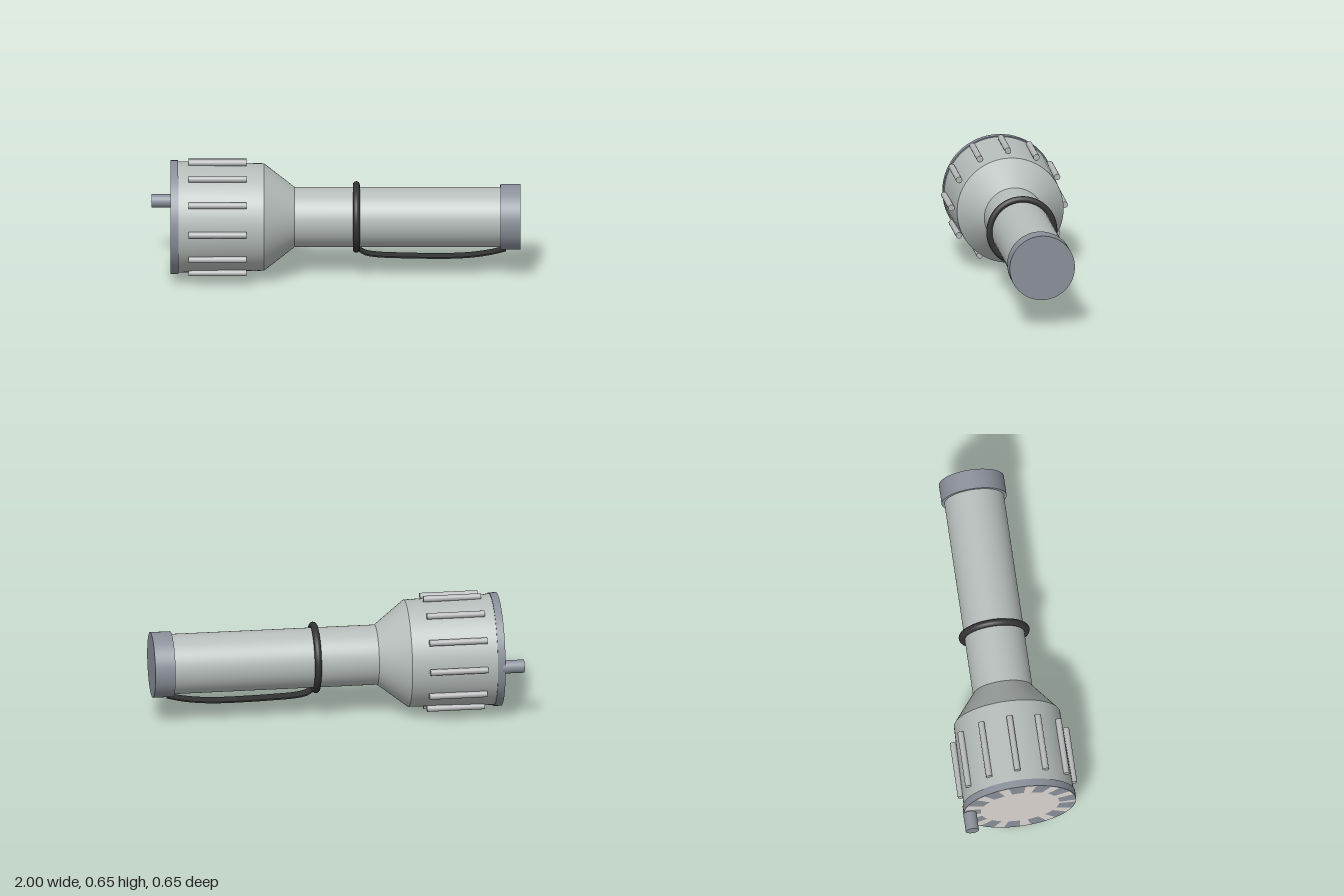
import * as THREE from 'three';

const AXIS_Y = 0.3275;
const SEGMENTS = 64;

function makeMaterial(name, color) {
  const material = new THREE.MeshStandardMaterial({ color });
  material.name = name;
  return material;
}

export function createModel() {
  const bodyGrey = makeMaterial('body grey', 0xb6bdba);
  const ribGrey = makeMaterial('rib grey', 0xb6b8b9);
  const steelBlue = makeMaterial('steel blue grey', 0x8a909a);
  const rubber = makeMaterial('black rubber', 0x333333);
  const lensGrey = makeMaterial('lens warm grey', 0xdcd6d2);

  const model = new THREE.Group();
  model.name = 'flashlight';

  function add(name, geometry, material, x = 0, y = 0, z = 0) {
    const mesh = new THREE.Mesh(geometry, material);
    mesh.name = name;
    mesh.position.set(x, y, z);
    model.add(mesh);
    return mesh;
  }

  // Cylinder or cone lying along x, from x0 (radius r0) to x1 (radius r1)
  function addTube(name, x0, x1, r0, r1, material, dy = 0, dz = 0, sides = SEGMENTS) {
    const geometry = new THREE.CylinderGeometry(r1, r0, x1 - x0, sides);
    geometry.rotateZ(-Math.PI / 2);
    return add(name, geometry, material, (x0 + x1) / 2, AXIS_Y + dy, dz);
  }

  // Main body
  addTube('head', -0.855, -0.39, 0.302, 0.291, bodyGrey);
  addTube('neckCone', -0.39, -0.225, 0.291, 0.163, bodyGrey);
  addTube('handle', -0.225, 0.89, 0.163, 0.163, bodyGrey);
  addTube('tailCap', 0.89, 1, 0.178, 0.178, steelBlue);
  addTube('frontBezel', -0.896, -0.855, 0.308, 0.308, steelBlue);

  // Peg on the front rim
  addTube('frontPeg', -1, -0.88, 0.036, 0.036, steelBlue, 0, -0.275, 24);

  // Grip ribs around the head
  for (let i = 0; i < 12; i++) {
    const angle = (i / 12) * Math.PI * 2;
    addTube('gripRib', -0.8, -0.485, 0.017, 0.017, ribGrey,
      0.3095 * Math.cos(angle), 0.3095 * Math.sin(angle), 20);
  }

  // Lens disc with a rim of alternating sectors
  const lens = new THREE.CircleGeometry(0.215, SEGMENTS);
  lens.rotateY(-Math.PI / 2);
  add('lens', lens, lensGrey, -0.899, AXIS_Y, 0);

  const rim = new THREE.RingGeometry(0.215, 0.307, SEGMENTS, 1);
  rim.rotateY(-Math.PI / 2);
  for (let i = 0; i < SEGMENTS; i++) rim.addGroup(i * 6, 6, i % 5 < 3 ? 0 : 1);
  add('lensRim', rim, [steelBlue, lensGrey], -0.899, AXIS_Y, 0);

  // Rubber ring around the handle
  const ring = new THREE.TorusGeometry(0.175, 0.019, 16, SEGMENTS);
  ring.rotateY(Math.PI / 2);
  add('strapRing', ring, rubber, 0.11, AXIS_Y, 0);

  // Sagging flat strap under the handle
  const curve = new THREE.CatmullRomCurve3([
    [0.115, 0.155], [0.15, 0.128], [0.21, 0.115], [0.35, 0.108], [0.5, 0.105],
    [0.62, 0.105], [0.74, 0.112], [0.84, 0.127], [0.92, 0.147],
  ].map(([x, y]) => new THREE.Vector3(x, y, 0)));
  const upper = [];
  const lower = [];
  for (let i = 0; i <= 32; i++) {
    const p = curve.getPointAt(i / 32);
    const t = curve.getTangentAt(i / 32);
    upper.push(new THREE.Vector2(p.x - t.y * 0.004, p.y + t.x * 0.004));
    lower.push(new THREE.Vector2(p.x + t.y * 0.004, p.y - t.x * 0.004));
  }
  const strapShape = new THREE.Shape([...lower, ...upper.reverse()]);
  const strap = new THREE.ExtrudeGeometry(strapShape, { depth: 0.076, bevelEnabled: false });
  add('strap', strap, rubber, 0, 0, -0.038);

  return model;
}
